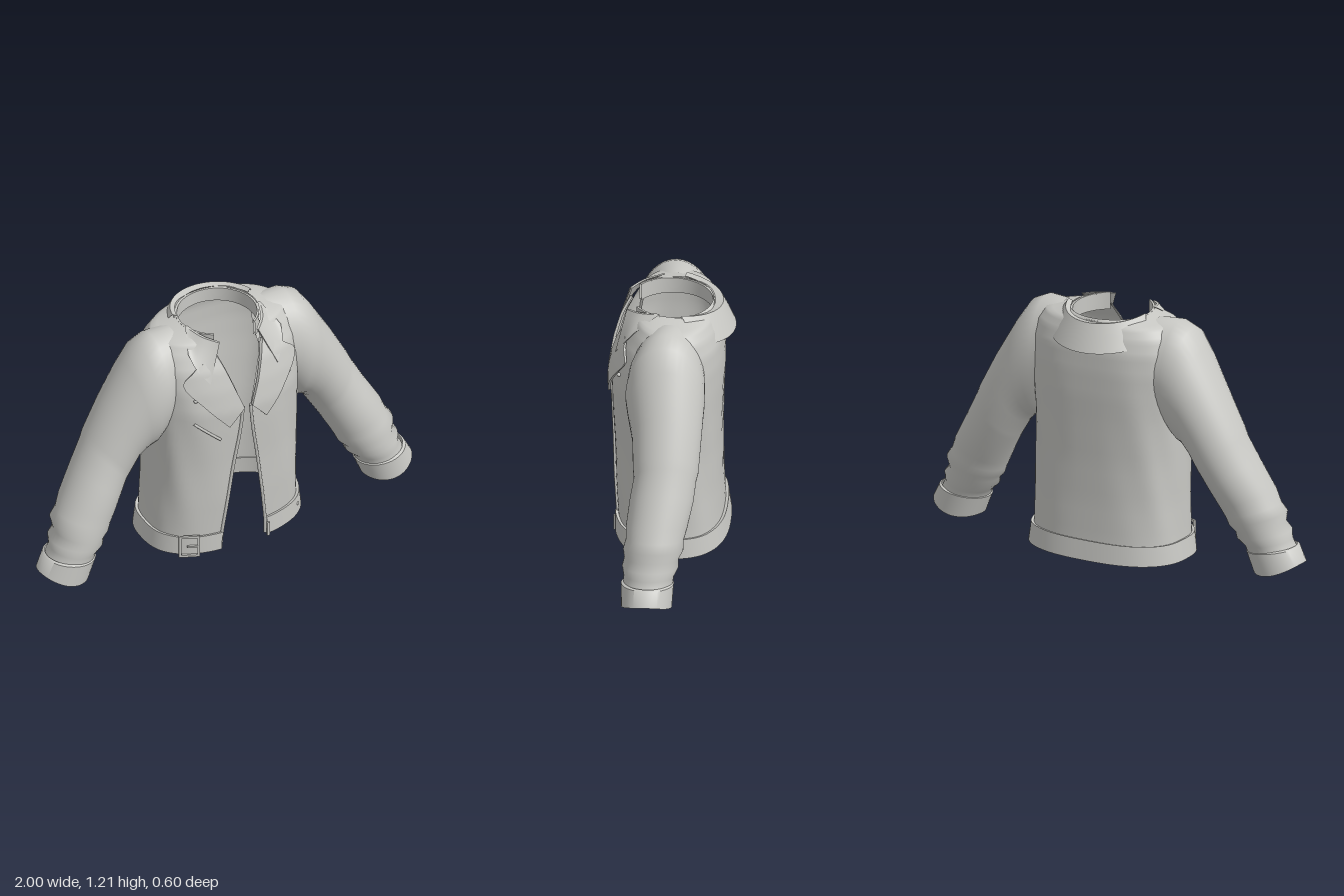
import * as THREE from 'three';
import { toCreasedNormals } from 'three/addons/utils/BufferGeometryUtils.js';

const cloth = new THREE.MeshStandardMaterial({ color: 0xc8c8c4, side: THREE.DoubleSide });
cloth.name = 'light grey cloth';

// Torso sections: y, half width, front z, back z, roundness power, half width of front opening
const SECTIONS = [
  [0.02, 0.388, 0.25, -0.255, 0.78, 0.12], [0.12, 0.38, 0.255, -0.245, 0.76, 0.115],
  [0.3, 0.373, 0.265, -0.237, 0.75, 0.092], [0.5, 0.372, 0.27, -0.235, 0.75, 0.065],
  [0.7, 0.375, 0.28, -0.24, 0.75, 0.032], [0.83, 0.38, 0.283, -0.245, 0.75, 0.02],
  [0.95, 0.385, 0.263, -0.245, 0.75, 0.055], [1.05, 0.383, 0.235, -0.24, 0.78, 0.09],
  [1.12, 0.37, 0.2, -0.225, 0.85, 0.115], [1.17, 0.33, 0.178, -0.207, 0.9, 0.135],
  [1.2, 0.2, 0.165, -0.19, 1, 0.15],
];

function section(y) {
  let i = 1;
  while (i < SECTIONS.length - 1 && y > SECTIONS[i][0]) i++;
  const a = SECTIONS[i - 1], b = SECTIONS[i];
  const k = THREE.MathUtils.clamp((y - a[0]) / (b[0] - a[0]), 0, 1);
  return a.map((v, j) => THREE.MathUtils.lerp(v, b[j], k));
}

// Height of the chest surface in z at (x, y)
function frontZ(x, y) {
  const [, a, zf, , p] = section(y);
  const s = Math.min(1, Math.abs(x) / a) ** (1 / p);
  return zf * Math.sqrt(Math.max(0, 1 - s * s)) ** p;
}

// Open horizontal loop from the left front edge round the back to the right front edge
function torsoRing(y, grow = 0, yOut = y) {
  const [, a, zf, zb, p, o] = section(y);
  const start = Math.asin((o / a) ** (1 / p)), ring = [], N = 72;
  for (let i = 0; i <= N; i++) {
    const t = THREE.MathUtils.lerp(start, 2 * Math.PI - start, i / N);
    const s = Math.sin(t), c = Math.cos(t);
    const fold = 0.004 * Math.sin(t * 9 + y * 8) * Math.sin(Math.PI * Math.min(1, y / 1.2)) * Math.abs(s);
    const g = grow + fold;
    ring.push(new THREE.Vector3(
      Math.sign(s) * Math.abs(s) ** p * a + g * s, yOut,
      Math.sign(c) * Math.abs(c) ** p * (c > 0 ? zf : -zb) + g * c));
  }
  return ring;
}

// Surface through a list of equal-length rings
function loft(rings, closed, crease) {
  const n = rings[0].length, index = [], m = closed ? n : n - 1;
  for (let r = 0; r < rings.length - 1; r++)
    for (let i = 0; i < m; i++) {
      const a = r * n + i, b = r * n + (i + 1) % n;
      index.push(a, b, b + n, a, b + n, a + n);
    }
  let g = new THREE.BufferGeometry().setFromPoints(rings.flat());
  g.setIndex(index);
  if (crease) g = toCreasedNormals(g, crease);
  else g.computeVertexNormals();
  return g;
}

function add(parent, name, geometry) {
  const mesh = new THREE.Mesh(geometry, cloth);
  mesh.name = name;
  parent.add(mesh);
  return mesh;
}

// Thick cloth flap between two edge curves; shape(p) may move each point
function flap(edgeA, edgeB, thick, shape = p => p, rows = 12, cols = 6) {
  const A = new THREE.CatmullRomCurve3(edgeA, false, 'centripetal');
  const B = new THREE.CatmullRomCurve3(edgeB, false, 'centripetal');
  const rings = [];
  for (let r = 0; r <= rows; r++) {
    const a = A.getPoint(r / rows), b = B.getPoint(r / rows), top = [], under = [];
    for (let i = 0; i <= cols; i++) {
      const p = shape(a.clone().lerp(b, i / cols));
      const out = new THREE.Vector3(p.x, 0, p.z).setLength(thick);
      top.push(p.clone().add(out));
      under.unshift(p);
    }
    rings.push([...top, ...under]);
  }
  const cap = ring => {
    const half = ring.length / 2;
    return ring.map((p, i) => (i < half ? p.clone().add(ring[2 * half - 1 - i]).multiplyScalar(0.5) : p.clone()));
  };
  rings.unshift(cap(rings[0]));
  rings.push(cap(rings[rings.length - 1]));
  return loft(rings, true, 0.7);
}

const v = (x, y, z = 0) => new THREE.Vector3(x, y, z);

// Sleeve rings: inner x, y, outer x, y, centre z, half depth
const SLEEVE = [
  [0.31, 0.72, 0.25, 1.192, 0.0, 0.165], [0.35, 0.645, 0.36, 1.197, 0.008, 0.182],
  [0.385, 0.605, 0.43, 1.165, 0.01, 0.187], [0.42, 0.59, 0.495, 1.07, 0.005, 0.178],
  [0.455, 0.555, 0.6, 0.89, -0.005, 0.162], [0.5, 0.48, 0.69, 0.72, -0.005, 0.154],
  [0.515, 0.455, 0.71, 0.675, -0.003, 0.147], [0.55, 0.395, 0.77, 0.56, 0.01, 0.15],
  [0.595, 0.31, 0.85, 0.42, 0.03, 0.144], [0.615, 0.27, 0.875, 0.355, 0.037, 0.136],
  [0.63, 0.235, 0.905, 0.315, 0.042, 0.142], [0.66, 0.205, 0.895, 0.26, 0.05, 0.128],
  [0.665, 0.175, 0.925, 0.225, 0.054, 0.133], [0.705, 0.14, 0.925, 0.18, 0.06, 0.118],
  [0.715, 0.11, 0.945, 0.145, 0.063, 0.116],
];
const CUFF = [
  [0.715, 0.118, 0.95, 0.155, 0.064, 0.112], [0.708, 0.112, 0.962, 0.15, 0.065, 0.124],
  [0.745, 0.022, 0.998, 0.082, 0.067, 0.12], [0.76, 0.022, 0.982, 0.08, 0.067, 0.106],
  [0.73, 0.11, 0.94, 0.145, 0.064, 0.102],
];

function sleeveRing([ix, iy, ox, oy, zc, zh], sag = 0) {
  const ring = [], N = 40;
  for (let i = 0; i < N; i++) {
    const t = i / N * 2 * Math.PI, k = 0.5 + 0.5 * Math.cos(t);
    ring.push(v(ix + (ox - ix) * k, iy + (oy - iy) * k - sag * Math.sin(t) ** 2, zc + zh * Math.sin(t)));
  }
  return ring;
}

// Everything that exists on both sides, modelled on the left (+x)
function createSide(name) {
  const side = new THREE.Group();
  side.name = name;
  add(side, 'sleeve', loft(SLEEVE.map(s => sleeveRing(s)), true));
  add(side, 'cuff', loft(CUFF.map((s, i) => sleeveRing(s, i === 2 || i === 3 ? 0.026 : 0)), true, 0.8));

  // Lapel lying on the chest
  add(side, 'lapel', flap(
    [v(0.02, 0.835), v(0.06, 0.95), v(0.095, 1.06), v(0.12, 1.13)],
    [v(0.095, 0.745), v(0.21, 0.885), v(0.29, 1.005), v(0.225, 1.075)],
    0.014, p => p.setZ(frontZ(p.x, p.y) + 0.008)));

  // Pointed front of the collar
  add(side, 'collarPoint', flap(
    [v(0.19, 1.215, 0.05), v(0.155, 1.2, 0.14), v(0.1, 1.185, 0.2)],
    [v(0.24, 1.14, 0.16), v(0.225, 1.08, 0.205), v(0.175, 1.0, 0.25)], 0.012));

  // Raised edge of the front opening
  const edge = [];
  for (let y = 0.02; y < 0.86; y += 0.09) {
    const o = section(y)[5];
    edge.push(v(o, y, frontZ(o, y) + 0.002));
  }
  add(side, 'frontEdge', new THREE.TubeGeometry(new THREE.CatmullRomCurve3(edge), 40, 0.008, 8));

  // Lapel stud
  const stud = add(side, 'lapelStud', new THREE.SphereGeometry(0.01, 12, 8));
  stud.position.set(0.25, 0.915, frontZ(0.25, 0.915) + 0.006);
  return side;
}

export function createModel() {
  const jacket = new THREE.Group();
  jacket.name = 'jacket';

  // Torso shell
  const rows = [];
  SECTIONS.forEach(([y], i) => {
    if (i) for (let k = 1; k < 4; k++) rows.push(torsoRing(THREE.MathUtils.lerp(SECTIONS[i - 1][0], y, k / 4)));
    rows.push(torsoRing(y));
  });
  add(jacket, 'torso', loft(rows, false));

  // Hem band with thickness
  add(jacket, 'hemBand', loft([
    torsoRing(0.11, -0.004), torsoRing(0.11, 0.014, 0.115), torsoRing(0.02, 0.02),
    torsoRing(0.02, -0.004), torsoRing(0.11, -0.004)], false, 0.7));

  const left = createSide('leftSide'), right = createSide('rightSide');
  right.scale.x = -1;
  jacket.add(left, right);

  // Collar stand: ring with a gap at the front
  const arc = (r, y, half, lift = 0, depth = r) => Array.from({ length: 41 }, (_, i) => {
    const f = (i / 20 - 1) * half;
    return v(r * Math.sin(f), y + lift * (1 - Math.cos(f)), -depth * Math.cos(f));
  });
  add(jacket, 'collarStand', loft([
    arc(0.188, 1.12, 2.55), arc(0.188, 1.19, 2.55, 0.008), arc(0.198, 1.19, 2.55, 0.008), arc(0.2, 1.12, 2.55)], false, 0.7));

  // Collar fall: flares out over the back
  add(jacket, 'collarFall', loft([
    arc(0.195, 1.185, 1.35, 0.03, 0.2), arc(0.215, 1.192, 1.35, 0.035, 0.238),
    arc(0.255, 1.13, 1.22, 0.045, 0.268), arc(0.29, 1.06, 1.05, 0.06, 0.298),
    arc(0.28, 1.06, 1.05, 0.06, 0.286), arc(0.205, 1.18, 1.35, 0.03, 0.225)], false, 0.7));

  // Belt buckle: frame and prong
  const buckle = new THREE.Group();
  buckle.name = 'buckle';
  const frame = new THREE.Shape([[-0.05, -0.06], [0.05, -0.06], [0.05, 0.06], [-0.05, 0.06]].map(p => new THREE.Vector2(...p)));
  frame.holes.push(new THREE.Path([[-0.038, -0.048], [-0.038, 0.048], [0.038, 0.048], [0.038, -0.048]].map(p => new THREE.Vector2(...p))));
  add(buckle, 'buckleFrame', new THREE.ExtrudeGeometry(frame, { depth: 0.01, bevelEnabled: false }));
  add(buckle, 'buckleProng', new THREE.BoxGeometry(0.05, 0.009, 0.01)).position.set(0.015, 0, 0.008);
  buckle.position.set(-0.277, 0.07, frontZ(0.277, 0.07) + 0.021);
  buckle.rotation.y = -0.42;
  jacket.add(buckle);

  // Hem snap and zip pull
  const snap = add(jacket, 'hemSnap', new THREE.SphereGeometry(0.012, 14, 8));
  snap.position.set(0.325, 0.07, frontZ(0.325, 0.07) + 0.014);
  add(jacket, 'zipPull', new THREE.BoxGeometry(0.014, 0.075, 0.008)).position.set(0.125, 0.05, 0.268);

  // Slanted chest pocket zip
  const slit = [0, 1, 2, 3, 4].map(i => {
    const x = -0.26 + i * 0.031, y = 0.785 - i * 0.028;
    return v(x, y, frontZ(x, y) + 0.003);
  });
  add(jacket, 'chestPocketZip', new THREE.TubeGeometry(new THREE.CatmullRomCurve3(slit), 20, 0.007, 6));
  return jacket;
}
